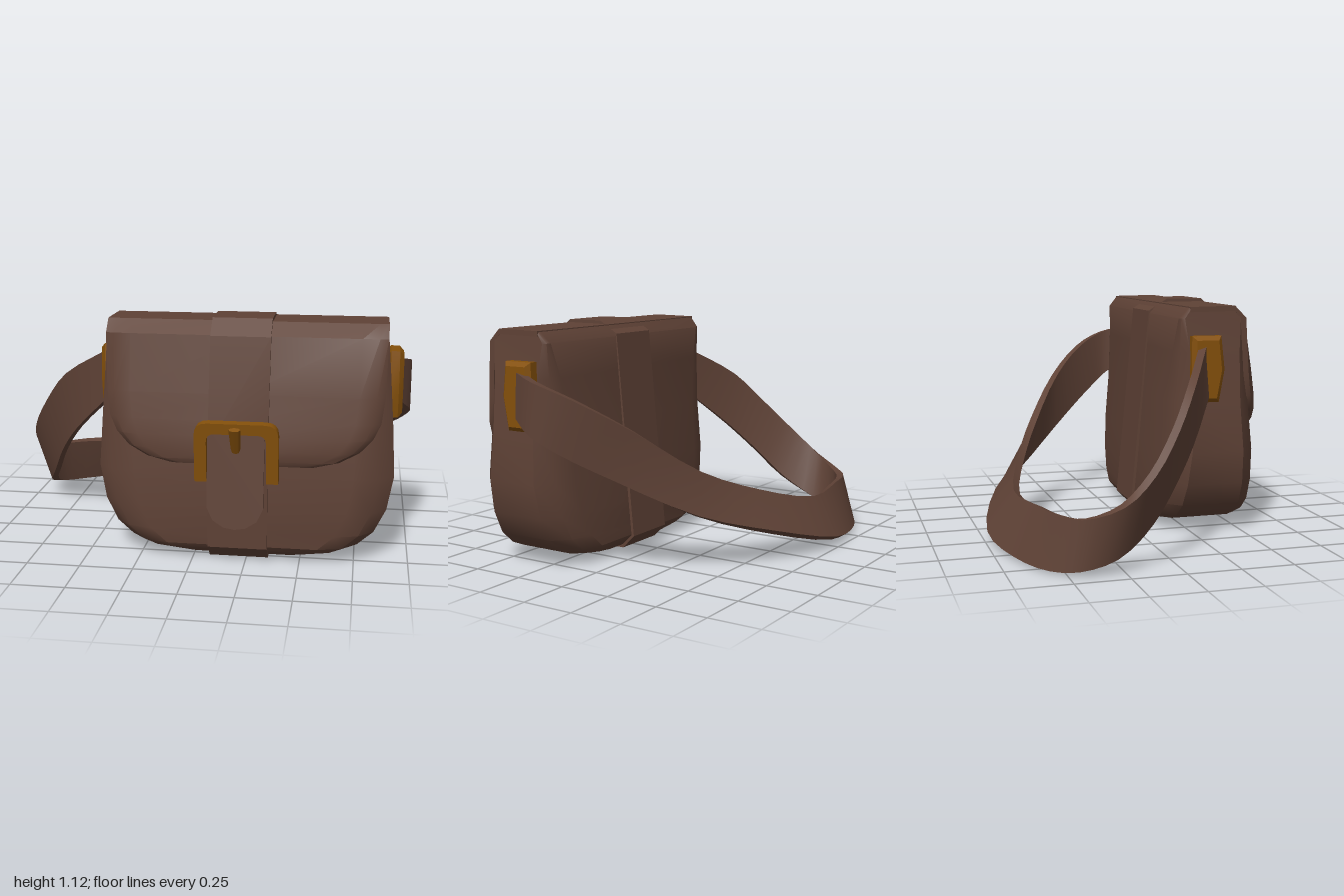
import * as THREE from 'three';
import { toCreasedNormals } from 'three/addons/utils/BufferGeometryUtils.js';

const leather = new THREE.MeshStandardMaterial({ color: 0x5f4236, side: THREE.DoubleSide });
leather.name = 'brown leather';
const brass = new THREE.MeshStandardMaterial({ color: 0x84500a });
brass.name = 'brass';

const CX = 0.2325;    // middle of the bag body
const BAND_X = 0.215; // middle of the band and buckle

function part(name, geometry, material, crease = 0.6) {
  const mesh = new THREE.Mesh(toCreasedNormals(geometry, crease), material);
  mesh.name = name;
  return mesh;
}

// Joins closed rings of [x, y, z] points, caps both ends and turns faces outward.
function loft(rings) {
  const n = rings[0].length, pos = rings.flat(2), index = [];
  for (let r = 0; r < rings.length - 1; r++) {
    for (let i = 0; i < n; i++) {
      const a = r * n + i, b = r * n + (i + 1) % n;
      index.push(a, b, a + n, b, b + n, a + n);
    }
  }
  // Strip caps: both halves of a ring mirror each other
  const last = (rings.length - 1) * n;
  for (let i = 0; i < n / 2 - 1; i++) {
    const j = n - 1 - i;
    index.push(i, j, i + 1, i + 1, j, j - 1);
    index.push(last + i, last + i + 1, last + j, last + i + 1, last + j - 1, last + j);
  }
  const v = (k) => new THREE.Vector3().fromArray(pos, k * 3);
  let volume = 0;
  for (let k = 0; k < index.length; k += 3) volume += v(index[k]).dot(v(index[k + 1]).cross(v(index[k + 2])));
  if (volume < 0) index.reverse();
  const g = new THREE.BufferGeometry();
  g.setAttribute('position', new THREE.Float32BufferAttribute(pos, 3));
  g.setIndex(index);
  return g;
}

const polygon = (pts) => new THREE.Shape(pts.map(([x, y]) => new THREE.Vector2(x, y)));

// Bag body: horizontal rings as [y, half width, back z, front z, corner size]
function makeBody() {
  const rows = [
    [0.03, 0.33, 0.14, 0.53, 0.6], [0.055, 0.46, 0.112, 0.565, 0.8], [0.085, 0.53, 0.09, 0.59, 1],
    [0.15, 0.605, 0.095, 0.588, 1], [0.26, 0.66, 0.103, 0.583, 1], [0.42, 0.69, 0.115, 0.575, 1],
    [0.66, 0.676, 0.135, 0.55, 0.9], [0.9, 0.657, 0.155, 0.515, 0.55],
    [1.06, 0.643, 0.168, 0.49, 0.2], [1.11, 0.64, 0.212, 0.445, 0.1],
  ];
  const rings = rows.map(([y, w, zb, zf, c]) => {
    const half = [[w - 0.18 * c, zf], [w - 0.07 * c, zf - 0.03 * c], [w, zf - 0.1 * c],
      [w, zb + 0.1 * c], [w - 0.07 * c, zb + 0.03 * c], [w - 0.18 * c, zb]];
    const right = half.map(([x, z]) => [CX + x, y, z]);
    const left = half.map(([x, z]) => [CX - x, y, z]).reverse();
    return [...right, ...left];
  });
  return part('body', loft(rings), leather, 0.65);
}

// Flap: rows over the top and down the front as [y, z, half width, edge set-back]
function makeFlap() {
  const rows = [
    [1.115, 0.215, 0.643, 0], [1.118, 0.44, 0.643, 0], [1.06, 0.508, 0.642, 0.01],
    [0.8, 0.562, 0.637, 0.045], [0.68, 0.585, 0.622, 0.05], [0.61, 0.6, 0.588, 0.05],
    [0.55, 0.609, 0.53, 0.045], [0.505, 0.612, 0.44, 0.03], [0.482, 0.604, 0.33, 0.01],
  ];
  const columns = [-1, -0.94, -0.82, 0, 0.82, 0.94, 1];
  const setBack = [1, 0.35, 0, 0, 0, 0.35, 1];
  const rings = rows.map(([y, z, w, e], r) => {
    const outer = columns.map((u, i) => [CX + u * w, y, z - e * setBack[i]]);
    const [dy, dz] = r < 2 ? [0.025, 0] : [r === 2 ? 0.012 : 0, 0.028];
    const inner = outer.map(([x, yy, zz]) => [x, yy - dy, zz - dz]).reverse();
    return [...outer, ...inner];
  });
  return part('flap', loft(rings), leather, 0.65);
}

// Band: closed loop around the body, drawn in (z, y) and extruded across x
function makeBand() {
  const shape = polygon([[0.535, 0.014], [0.606, 0.08], [0.62, 0.5], [0.622, 0.555], [0.525, 1.06],
    [0.448, 1.132], [0.26, 1.132], [0.163, 1.072], [0.07, 0.08], [0.135, 0.014]]);
  shape.holes.push(polygon([[0.53, 0.027], [0.594, 0.085], [0.606, 0.5], [0.606, 0.552], [0.511, 1.053],
    [0.44, 1.117], [0.266, 1.117], [0.177, 1.062], [0.084, 0.085], [0.141, 0.027]]));
  const g = new THREE.ExtrudeGeometry(shape, { depth: 0.275, bevelEnabled: false });
  g.rotateY(-Math.PI / 2).translate(BAND_X + 0.1375, 0, 0);
  return part('band', g, leather, 0.3);
}

// Buckle frame, prong and the loose end of the band
function makeBuckle() {
  const group = new THREE.Group();
  group.name = 'buckle';

  const s = new THREE.Shape();
  s.moveTo(-0.19, 0);
  s.lineTo(-0.135, 0).lineTo(-0.135, 0.19);
  s.quadraticCurveTo(-0.135, 0.23, -0.1, 0.23);
  s.lineTo(0.1, 0.23);
  s.quadraticCurveTo(0.135, 0.23, 0.135, 0.19);
  s.lineTo(0.135, 0).lineTo(0.19, 0).lineTo(0.19, 0.22);
  s.quadraticCurveTo(0.19, 0.28, 0.13, 0.28);
  s.lineTo(-0.13, 0.28);
  s.quadraticCurveTo(-0.19, 0.28, -0.19, 0.22);
  const frame = part('buckleFrame',
    new THREE.ExtrudeGeometry(s, { depth: 0.045, bevelEnabled: false, curveSegments: 4 }), brass);
  frame.position.set(BAND_X, 0.42, 0.62);
  frame.rotation.x = 0.09;

  const prong = part('prong', new THREE.CylinderGeometry(0.027, 0.018, 0.18, 8).scale(1, 1, 0.5), brass);
  prong.position.set(BAND_X, 0.603, 0.7);
  prong.rotation.x = 0.46;

  const tip = polygon([[-0.128, 0.47], [-0.128, 0.1], [-0.1, 0.04], [-0.05, 0.008], [0, 0],
    [0.05, 0.008], [0.1, 0.04], [0.128, 0.1], [0.128, 0.47]]);
  const tongue = part('tongue', new THREE.ExtrudeGeometry(tip, { depth: 0.016, bevelEnabled: false }), leather);
  tongue.position.set(BAND_X, 0.212, 0.708);
  tongue.rotation.x = -0.1;

  group.add(frame, prong, tongue);
  return group;
}

// Strap mount: bevelled plate on the side of the bag
function makeMount(name, x) {
  const shape = polygon([[0.23, 0.685], [0.33, 0.685], [0.354, 0.82], [0.338, 0.96], [0.23, 0.96]]);
  const g = new THREE.ExtrudeGeometry(shape,
    { depth: 0.04, bevelThickness: 0.02, bevelSize: 0.02, bevelSegments: 1 });
  g.rotateY(-Math.PI / 2).translate(x + 0.02, 0, 0);
  return part(name, g, brass);
}

// Shoulder strap: a twisting ribbon between an upper and a lower edge curve
function makeStrap() {
  const curve = (pts) => new THREE.CatmullRomCurve3(pts.map((p) => new THREE.Vector3(...p)));
  const upper = curve([[-0.44, 0.94, 0.27], [-0.7, 0.78, 0.12], [-0.84, 0.61, 0], [-0.945, 0.44, -0.14],
    [-0.975, 0.32, -0.28], [-0.9, 0.255, -0.43], [-0.78, 0.25, -0.51], [-0.58, 0.25, -0.56],
    [-0.25, 0.24, -0.595], [0.13, 0.335, -0.5], [0.45, 0.47, -0.37], [0.72, 0.68, -0.19],
    [0.91, 0.83, 0], [0.975, 0.9, 0.15], [0.93, 0.935, 0.28]]);
  const lower = curve([[-0.44, 0.71, 0.29], [-0.65, 0.5, 0.13], [-0.76, 0.35, 0.01], [-0.84, 0.2, -0.12],
    [-0.91, 0.08, -0.29], [-0.9, 0.03, -0.44], [-0.82, 0.015, -0.55], [-0.6, 0.02, -0.66],
    [-0.25, 0.05, -0.725], [0.18, 0.16, -0.61], [0.5, 0.275, -0.39], [0.77, 0.46, -0.12],
    [0.93, 0.59, 0.07], [0.975, 0.66, 0.17], [0.93, 0.73, 0.29]]);
  const rings = [], steps = 42;
  const middle = (t) => upper.getPoint(t).add(lower.getPoint(t)).multiplyScalar(0.5);
  for (let i = 0; i <= steps; i++) {
    const t = i / steps, u = upper.getPoint(t), l = lower.getPoint(t);
    const along = middle(Math.min(1, t + 0.01)).sub(middle(Math.max(0, t - 0.01)));
    const n = along.cross(u.clone().sub(l)).normalize().multiplyScalar(0.018);
    rings.push([u.clone().add(n), l.clone().add(n), l.clone().sub(n), u.clone().sub(n)].map((p) => p.toArray()));
  }
  return part('shoulderStrap', loft(rings), leather, 0.7);
}

export function createModel() {
  const bag = new THREE.Group();
  bag.name = 'satchel';
  bag.add(makeBody(), makeFlap(), makeBand(), makeBuckle(), makeStrap(),
    makeMount('rightStrapMount', -0.43), makeMount('leftStrapMount', 0.91));
  return bag;
}
